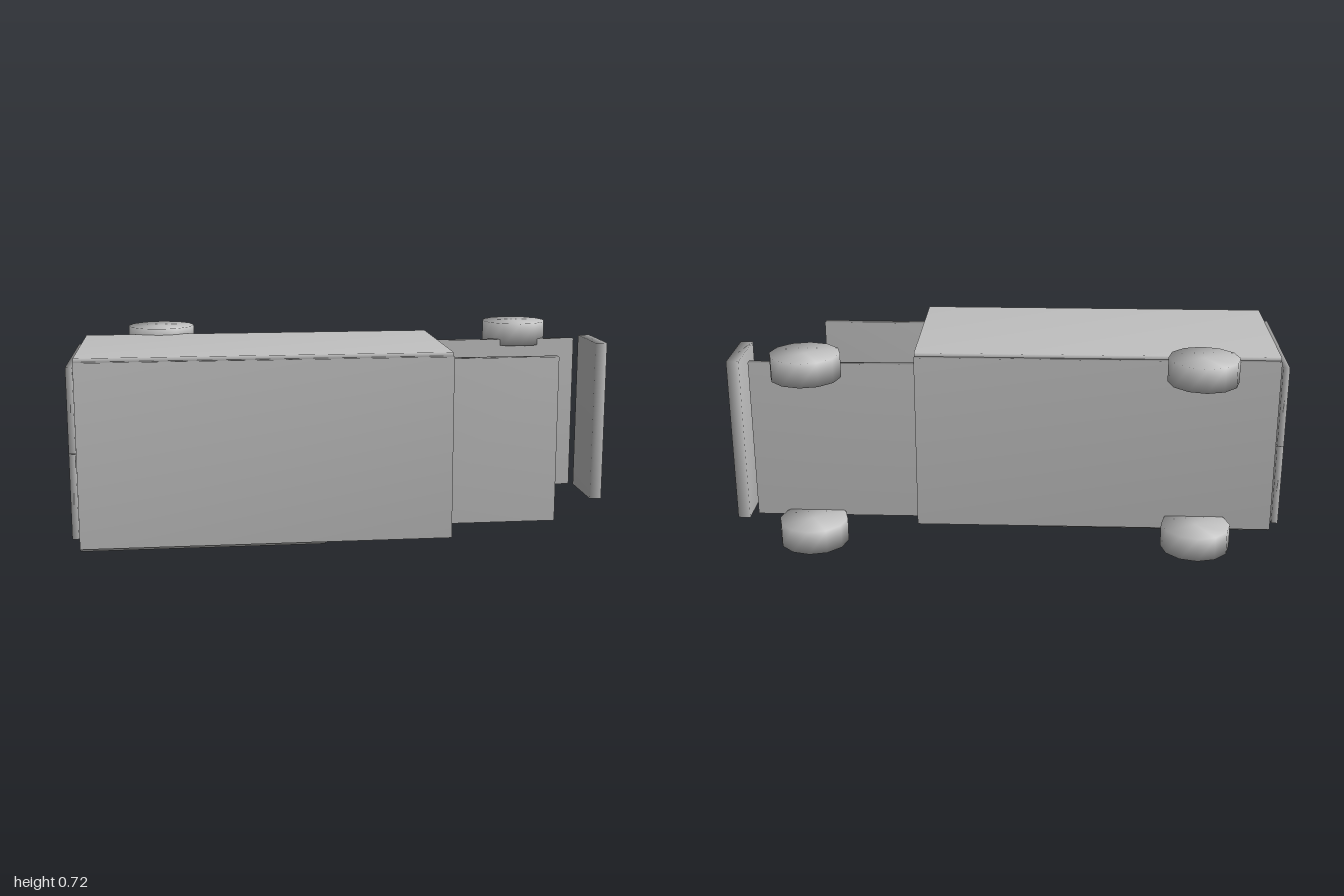
import * as THREE from 'three';
import { mergeVertices } from 'three/addons/utils/BufferGeometryUtils.js';

// Weld all corners so that the normals run smoothly across the edges
function welded(geometry) {
  geometry.deleteAttribute('normal');
  geometry.deleteAttribute('uv');
  const g = mergeVertices(geometry, 1e-4);
  g.computeVertexNormals();
  return g;
}

// A van lying on its side, taken apart into loose body panels
export function createModel() {
  const group = new THREE.Group();
  const grey = new THREE.MeshStandardMaterial({ color: 0xc0c0c0 });
  grey.name = 'light grey';

  const panel = (name, [x0, x1], [y0, y1], [z0, z1]) => {
    const mesh = new THREE.Mesh(welded(new THREE.BoxGeometry(x1 - x0, y1 - y0, z1 - z0)), grey);
    mesh.position.set((x0 + x1) / 2, (y0 + y1) / 2, (z0 + z1) / 2);
    mesh.name = name;
    group.add(mesh);
  };

  // Cargo box
  panel('cargoRoof', [-0.97, 0.33], [0.038, 0.687], [0.378, 0.413]);
  panel('cargoFloor', [-0.97, 0.33], [0.038, 0.687], [-0.22, -0.193]);
  panel('cargoSideUpper', [-0.97, 0.33], [0.673, 0.7], [-0.2, 0.39]);
  panel('cargoSideLower', [-0.97, -0.12], [0.026, 0.052], [-0.2, 0.395]);
  panel('slidingDoor', [-0.1, 0.31], [0.012, 0.036], [-0.155, 0.305]);

  // Pair of rear doors
  panel('rearDoorLower', [-1, -0.976], [0.06, 0.362], [-0.21, 0.358]);
  panel('rearDoorUpper', [-1, -0.976], [0.365, 0.665], [-0.21, 0.358]);

  // Cab
  panel('cabFloor', [0.32, 0.925], [0.068, 0.66], [-0.215, -0.19]);
  panel('cabRoof', [0.24, 0.73], [0.06, 0.664], [0.275, 0.308]);
  panel('nosePanel', [0.955, 1], [0.056, 0.668], [-0.228, 0.008]);

  // Wheels
  const wheelGeometry = welded(new THREE.CylinderGeometry(0.125, 0.125, 0.087, 12));
  for (const x of [-0.69, 0.704]) {
    for (const y of [0.0435, 0.68]) {
      const wheel = new THREE.Mesh(wheelGeometry, grey);
      wheel.position.set(x, y, -0.287);
      wheel.name = 'wheel';
      group.add(wheel);
    }
  }
  return group;
}
